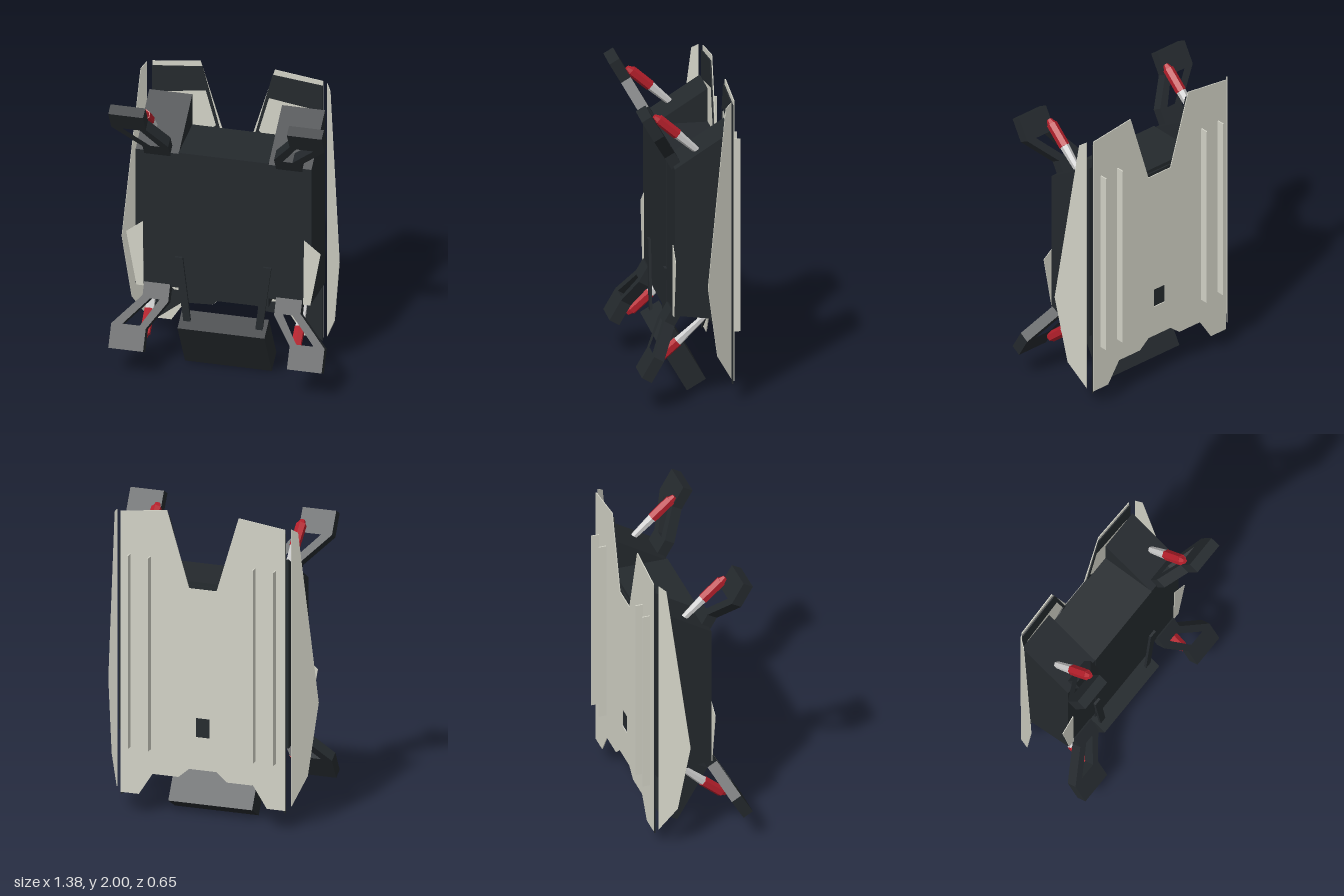
import * as THREE from 'three';

const mat = (color) => new THREE.MeshStandardMaterial({ color, flatShading: true });

export function createModel() {
  const model = new THREE.Group();
  const dark = mat(0x24292d), light = mat(0xd2d2c6), red = mat(0xb51f2b), grey = mat(0xcccccc);

  const add = (name, geometry, material) => {
    const mesh = new THREE.Mesh(geometry, material);
    mesh.name = name;
    model.add(mesh);
    return mesh;
  };
  const box = (w, h, d) => new THREE.BoxGeometry(w, h, d);
  const vec = (pts) => pts.map(([x, y]) => new THREE.Vector2(x, y));
  // flat outline with optional holes, given thickness centred on its plane
  const slab = (pts, depth, holes = []) => {
    const shape = new THREE.Shape(vec(pts));
    holes.forEach((h) => shape.holes.push(new THREE.Path(vec(h))));
    return new THREE.ExtrudeGeometry(shape, { depth, bevelEnabled: false }).translate(0, 0, -depth / 2);
  };
  const flip = (pts, sx, sy = 1) => pts.map(([x, y]) => [x * sx, y * sy]);
  const symmetric = (half) => [...half, ...flip(half, -1).reverse()];
  // tapered six-sided rod between two points
  const rod = (name, a, b, ra, rb, material) => {
    const dir = b.clone().sub(a);
    const mesh = add(name, new THREE.CylinderGeometry(rb, ra, dir.length(), 6), material);
    mesh.position.copy(a).add(b).multiplyScalar(0.5);
    mesh.quaternion.setFromUnitVectors(new THREE.Vector3(0, 1, 0), dir.normalize());
  };

  // central body
  add('centreBody', box(0.57, 1.02, 0.36), dark).position.set(0, 1.04, -0.076);

  // back shell with notch, cut-outs and a small window
  const shell = symmetric([
    [0.09, 1.51], [0.235, 2], [0.54, 1.96], [0.54, 0.14], [0.42, 0.14],
    [0.33, 0.28], [0.16, 0.28], [0.09, 0.34],
  ]);
  const window = [[-0.045, 0.55], [0.045, 0.55], [0.045, 0.675], [-0.045, 0.675]];
  add('backShell', slab(shell, 0.006, [window]), light).position.z = -0.272;

  // dark frame lining the shell
  const frame = symmetric([
    [0.11, 1.53], [0.222, 1.965], [0.54, 1.93], [0.54, 0.12], [0.35, 0.275], [0.16, 0.285], [0.09, 0.345],
  ]);
  const upperHole = [[0.2, 1.8], [0.5, 1.755], [0.5, 1.5], [0.2, 1.5], [0.135, 1.56]];
  const lowerHole = symmetric([[0.47, 0.57], [0.47, 0.42], [0.4, 0.36], [0.28, 0.36]]);
  add('shellFrame', slab(frame, 0.008, [upperHole, flip(upperHole, -1), lowerHole]), dark).position.z = -0.264;

  // tilted lower case
  const lowerCase = add('lowerCase', box(0.55, 0.39, 0.137), dark);
  lowerCase.position.set(0, 0.2075, 0.0125);
  lowerCase.rotation.x = Math.PI / 6;

  for (const s of [1, -1]) {
    // side bodies with sloping ends
    const side = slab([[0.1, 0.59], [0.1, 1.54], [-0.255, 1.765], [-0.255, 0.54]], 0.272);
    add('sideBody', side.rotateY(-Math.PI / 2), dark).position.x = s * 0.42;

    // slanted side wing: outline in (z, y), swung outwards
    const wing = [[-0.25, 1.96], [-0.21, 1.93], [-0.083, 0.8], [-0.15, 0.34], [-0.25, 0.165]]
      .map(([z, y]) => [(z + 0.25) * 1.22, y]);
    const wingMesh = add('sideWing', slab(wing, 0.004), light);
    wingMesh.position.set(s * 0.572, 0, -0.25);
    wingMesh.rotation.y = s > 0 ? -0.96 : 0.96 - Math.PI;

    // small front fin
    const fin = flip([[0.505, 0.58], [0.51, 1.035], [0.615, 0.95], [0.55, 0.58]], s);
    add('frontFin', slab(fin, 0.004), light).position.z = 0.104;

    // strap running down to the case
    const strap = flip([[0.255, 0.815], [0.305, 0.815], [0.25, 0.37], [0.205, 0.37]], s);
    add('strap', slab(strap, 0.016), dark).position.z = 0.112;

    // rails standing off the shell
    for (const x of [0.343, 0.477]) {
      add('backRail', box(0.008, 1.25, 0.056), light).position.set(s * x, 1.065, -0.297);
    }

    // upper and lower arms with their pistons
    for (const v of [1, -1]) {
      const height = (y) => (v > 0 ? y : 2.135 - y);
      const outline = [
        [0.335, 0], [0.5, 0], [0.5, 0.085], [0.675, 0.28], [0.675, 0.433],
        [0.455, 0.433], [0.455, 0.29], [0.335, 0.11],
      ];
      const opening = [[0.39, 0.1], [0.45, 0.1], [0.605, 0.275], [0.495, 0.275]];
      const arm = add(v > 0 ? 'upperArm' : 'lowerArm',
        slab(flip(outline, s, v), 0.07, [flip(opening, s, v)]), dark);
      arm.position.set(0, height(1.54), 0.08);
      arm.rotation.x = v * Math.PI / 6;

      const at = (y, z) => new THREE.Vector3(s * 0.475, height(y), z);
      rod('pistonTip', at(1.865, 0.215), at(1.835, 0.18), 0.016, 0.034, red);
      rod('pistonSleeve', at(1.845, 0.19), at(1.74, 0.07), 0.034, 0.034, red);
      rod('pistonRod', at(1.74, 0.07), at(1.585, -0.1), 0.03, 0.018, grey);
    }
  }
  return model;
}
